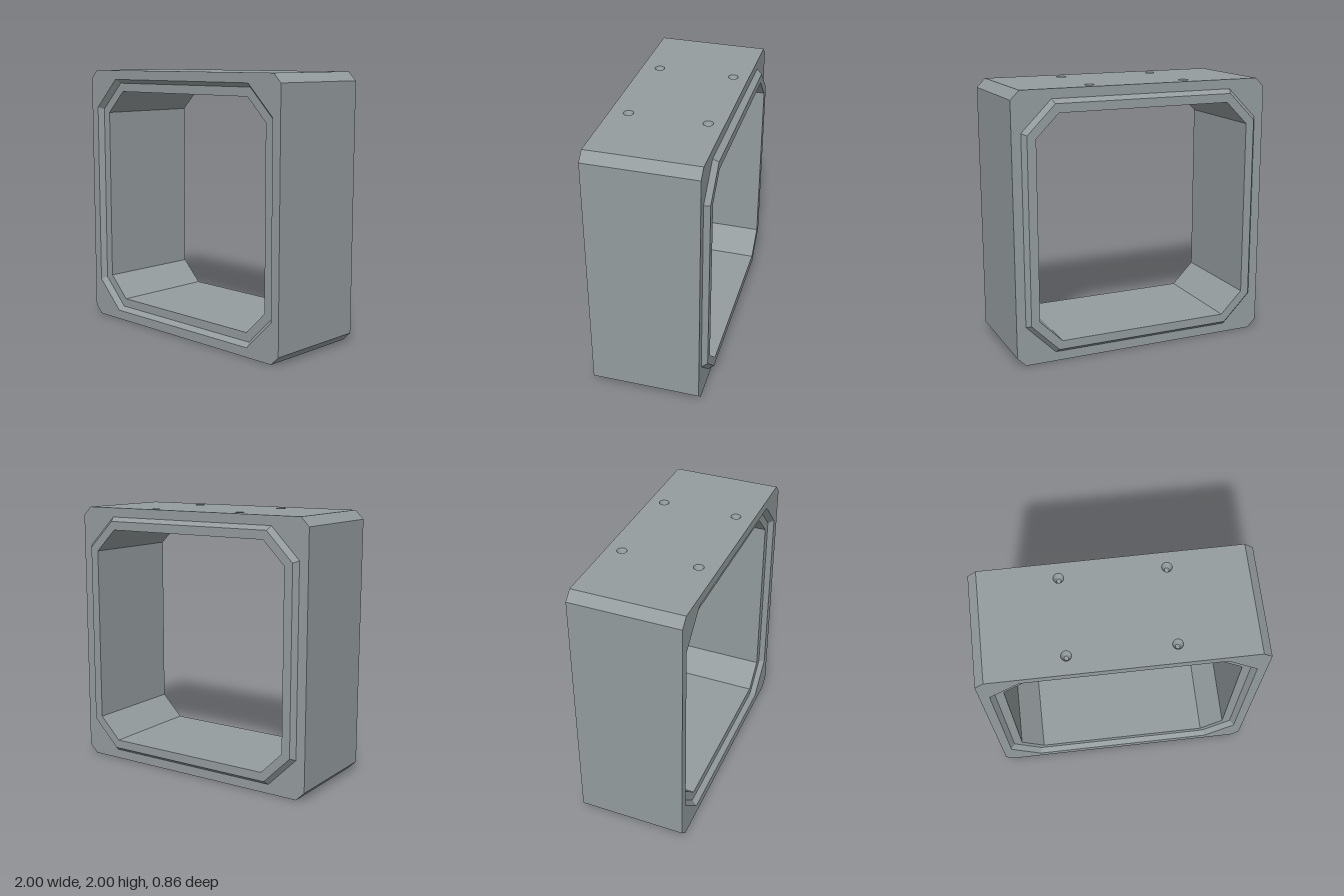
import * as THREE from 'three';

// Chamfered square ring of 8 points, counter-clockwise seen from +z
function octagon(half, chamfer, z) {
  const h = half, k = half - chamfer;
  return [[-k, -h], [k, -h], [h, -k], [h, k], [k, h], [-k, h], [-h, k], [-h, -k]]
    .map(([x, y]) => [x, y + 1, z]);
}

// Skin between consecutive rings, optionally leaving out one side
function loft(rings, skip = () => false) {
  const pos = [];
  for (let i = 0; i < rings.length - 1; i++) {
    for (let j = 0; j < 8; j++) {
      if (skip(i, j)) continue;
      const n = (j + 1) % 8;
      const a = rings[i][j], b = rings[i][n], c = rings[i + 1][n], d = rings[i + 1][j];
      pos.push(...a, ...b, ...c, ...a, ...c, ...d);
    }
  }
  const g = new THREE.BufferGeometry();
  g.setAttribute('position', new THREE.Float32BufferAttribute(pos, 3));
  g.computeVertexNormals();
  return g;
}

export function createModel() {
  const group = new THREE.Group();
  group.name = 'boxCulvert';
  const concrete = new THREE.MeshStandardMaterial({ color: 0x949c9e, flatShading: true });
  concrete.name = 'concreteGrey';
  const add = (name, geometry) => {
    const mesh = new THREE.Mesh(geometry, concrete);
    mesh.name = name;
    group.add(mesh);
    return mesh;
  };

  const front = 0.43, back = -0.39, chamfer = 0.065, lip = 0.04;
  const outerFront = octagon(1, chamfer, front);
  const grooveOuter = octagon(0.93, 0.225, front);
  const grooveInner = octagon(0.9, 0.21, front - lip);
  const openingFront = octagon(0.835, 0.17, front - lip);
  const openingBack = octagon(0.835, 0.17, back - lip);
  const tongueTip = octagon(0.9, 0.21, back - lip);
  const tongueBase = octagon(0.93, 0.225, back);
  const outerBack = octagon(1, chamfer, back);

  // Front face with the recessed joint
  add('frontSocket', loft([outerFront, grooveOuter, grooveInner, openingFront]));
  // Inside of the tunnel
  add('innerWalls', loft([openingFront, openingBack]));
  // Raised joint and back face
  add('backTongue', loft([openingBack, tongueTip, tongueBase, outerBack]));
  // Outside walls; the top side (4) is a separate panel with holes
  add('outerWalls', loft([outerBack, outerFront], (i, j) => j === 4));

  // Top panel pierced by four lifting sockets
  const w = 1 - chamfer, r = 0.037;
  const panel = new THREE.Shape([[-w, -front], [w, -front], [w, -back], [-w, -back]]
    .map(([x, y]) => new THREE.Vector2(x, y)));
  const profile = [[r, 0], [0.016, -0.045], [0, -0.045]].map(([x, y]) => new THREE.Vector2(x, y));
  for (const x of [-0.375, 0.375]) {
    for (const z of [-0.275, 0.295]) {
      panel.holes.push(new THREE.Path().absarc(x, -z, r, 0, Math.PI * 2, true));
      add('liftingSocket', new THREE.LatheGeometry(profile, 24)).position.set(x, 2, z);
    }
  }
  const top = new THREE.ShapeGeometry(panel, 12);
  top.rotateX(-Math.PI / 2).translate(0, 2, 0);
  add('topPanel', top);

  return group;
}
